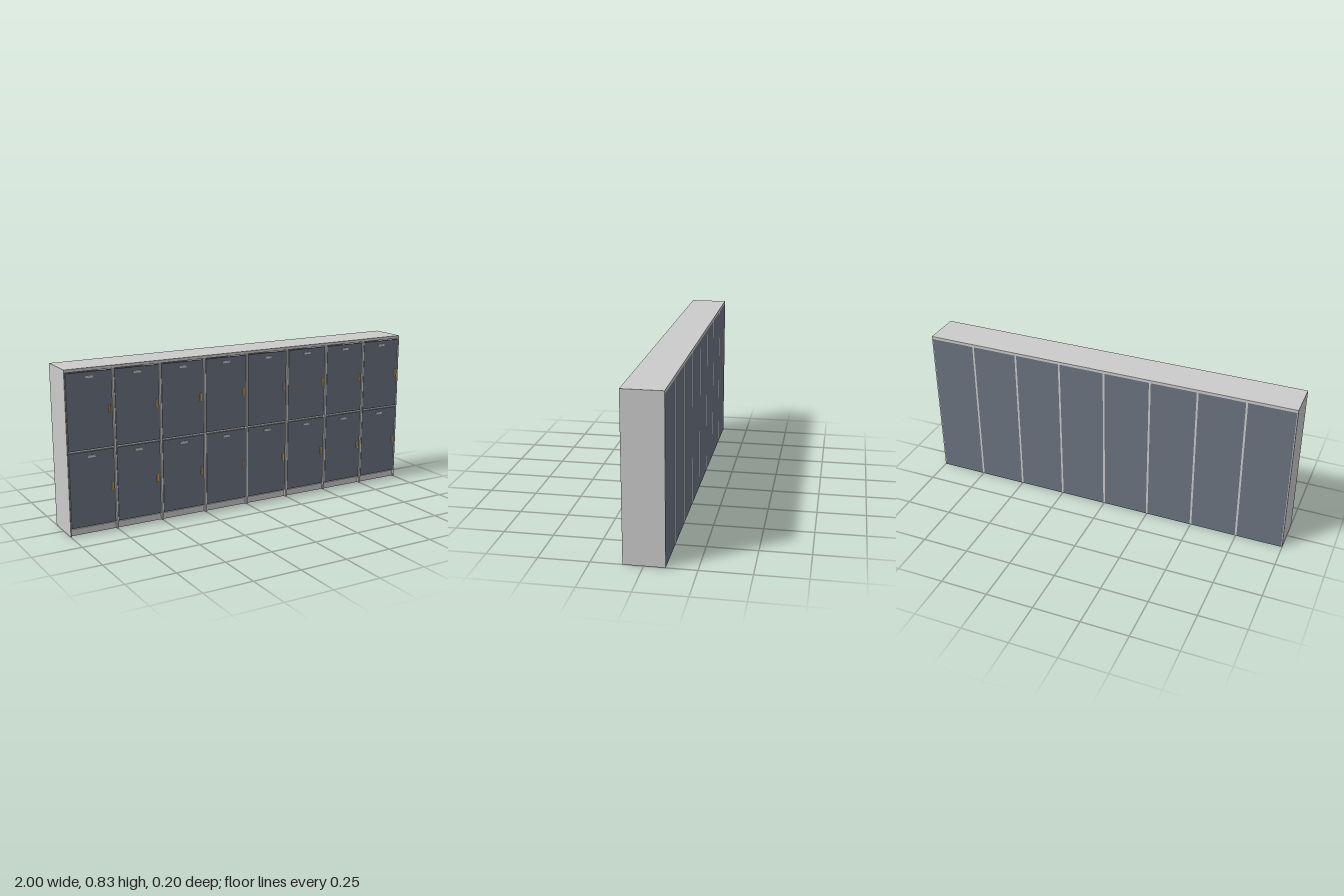
import * as THREE from 'three';

const H = 0.833, COLS = 8, PITCH = 2 / COLS, T = 0.01;
const BACK = -0.102, FRONT = 0.098;

const grey = new THREE.MeshStandardMaterial({ color: 0xcccccc });
const slate = new THREE.MeshStandardMaterial({ color: 0x6b7481 });
const brass = new THREE.MeshStandardMaterial({ color: 0xd9a24a });

// Box given by its minimum and maximum on each axis
function box(name, [x0, x1], [y0, y1], [z0, z1], material) {
  const mesh = new THREE.Mesh(new THREE.BoxGeometry(x1 - x0, y1 - y0, z1 - z0), material);
  mesh.position.set((x0 + x1) / 2, (y0 + y1) / 2, (z0 + z1) / 2);
  mesh.name = name;
  return mesh;
}

// Door with its label holder and latch, centred on cx
function makeDoor(cx, y0, y1) {
  const door = new THREE.Group();
  door.name = 'door';
  door.add(
    box('doorPanel', [cx - 0.117, cx + 0.117], [y0, y1], [0.086, 0.096], slate),
    box('labelHolder', [cx - 0.02, cx + 0.02], [y1 - 0.03, y1 - 0.02], [0.095, 0.1], grey),
    box('latch', [cx + 0.097, cx + 0.105], [y0 + 0.17, y0 + 0.21], [0.095, 0.102], brass)
  );
  return door;
}

export function createModel() {
  const lockers = new THREE.Group();
  lockers.name = 'lockers';
  const top = H - 0.015;

  lockers.add(box('topPanel', [-1, 1], [top, H], [BACK, FRONT], grey));

  // Upright panels: outer sides and dividers between columns
  for (let i = 0; i <= COLS; i++) {
    const x = -1 + i * PITCH;
    const x0 = i === 0 ? -1 : x - T / 2;
    const x1 = i === COLS ? 1 : x + T / 2;
    lockers.add(box(i % COLS ? 'divider' : 'sidePanel', [x0, x1], [0, top], [BACK, FRONT], grey));
  }

  // Columns: back, plinth, shelves and two doors
  for (let i = 0; i < COLS; i++) {
    const cx = -1 + (i + 0.5) * PITCH;
    const xs = [cx - PITCH / 2 + (i ? T / 2 : T / 2), cx + PITCH / 2 - T / 2];
    const column = new THREE.Group();
    column.name = 'column';
    column.add(
      box('backPanel', xs, [0, top], [BACK, BACK + 0.008], slate),
      box('plinth', xs, [0, 0.033], [BACK + 0.008, 0.086], grey),
      box('middleShelf', xs, [0.42, 0.43], [BACK + 0.008, 0.086], grey),
      makeDoor(cx, 0.04, 0.42),
      makeDoor(cx, 0.43, 0.813)
    );
    lockers.add(column);
  }
  return lockers;
}
